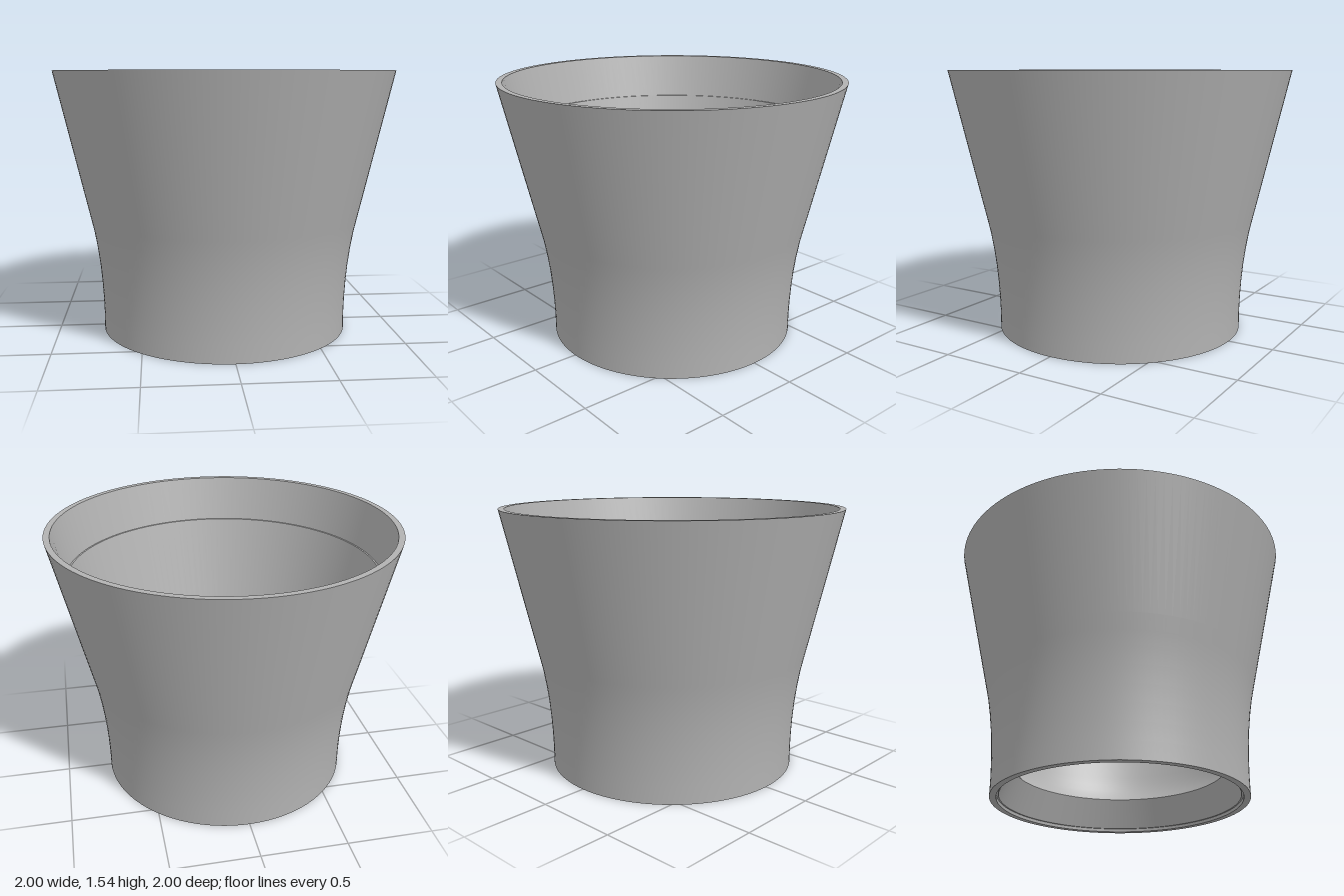
import * as THREE from 'three';

export function createModel() {
  const model = new THREE.Group();
  model.name = 'taperedSleeve';
  const grey = new THREE.MeshStandardMaterial({ color: 0xb2b2b2 });
  grey.name = 'plain grey';

  // Each band is its own surface of revolution, so edges between bands stay sharp.
  // The bands run up the outside, over the rim, down the inside and out below.
  const band = (name, points) => {
    const profile = points.map(([r, y]) => new THREE.Vector2(r, y));
    const mesh = new THREE.Mesh(new THREE.LatheGeometry(profile, 128), grey);
    mesh.name = name;
    model.add(mesh);
  };

  // Outer wall: straight foot, gentle flare, then a straight cone
  band('outerWall', [
    [0.735, 0], [0.735, 0.1], [0.738, 0.2], [0.744, 0.3], [0.753, 0.4],
    [0.766, 0.5], [0.783, 0.6], [0.801, 0.68], [0.822, 0.77], [1, 1.545],
  ]);
  band('topRim', [[1, 1.545], [0.965, 1.545]]);

  // Upper socket with its narrow stop ledge
  band('upperSocket', [[0.965, 1.545], [0.905, 1.28]]);
  band('upperLedge', [[0.905, 1.28], [0.895, 1.28]]);

  // Inner cone, curving in to the narrow throat
  band('innerWall', [
    [0.895, 1.28], [0.707, 0.45], [0.687, 0.36], [0.672, 0.305],
    [0.655, 0.26], [0.636, 0.222], [0.615, 0.19],
  ]);

  // Lower opening: flare below the throat, small ledge and lip
  band('lowerFlare', [[0.615, 0.19], [0.685, 0.018]]);
  band('lowerLedge', [[0.685, 0.018], [0.695, 0.018]]);
  band('lowerLip', [[0.695, 0.018], [0.697, 0]]);
  band('bottomRim', [[0.697, 0], [0.735, 0]]);

  return model;
}
